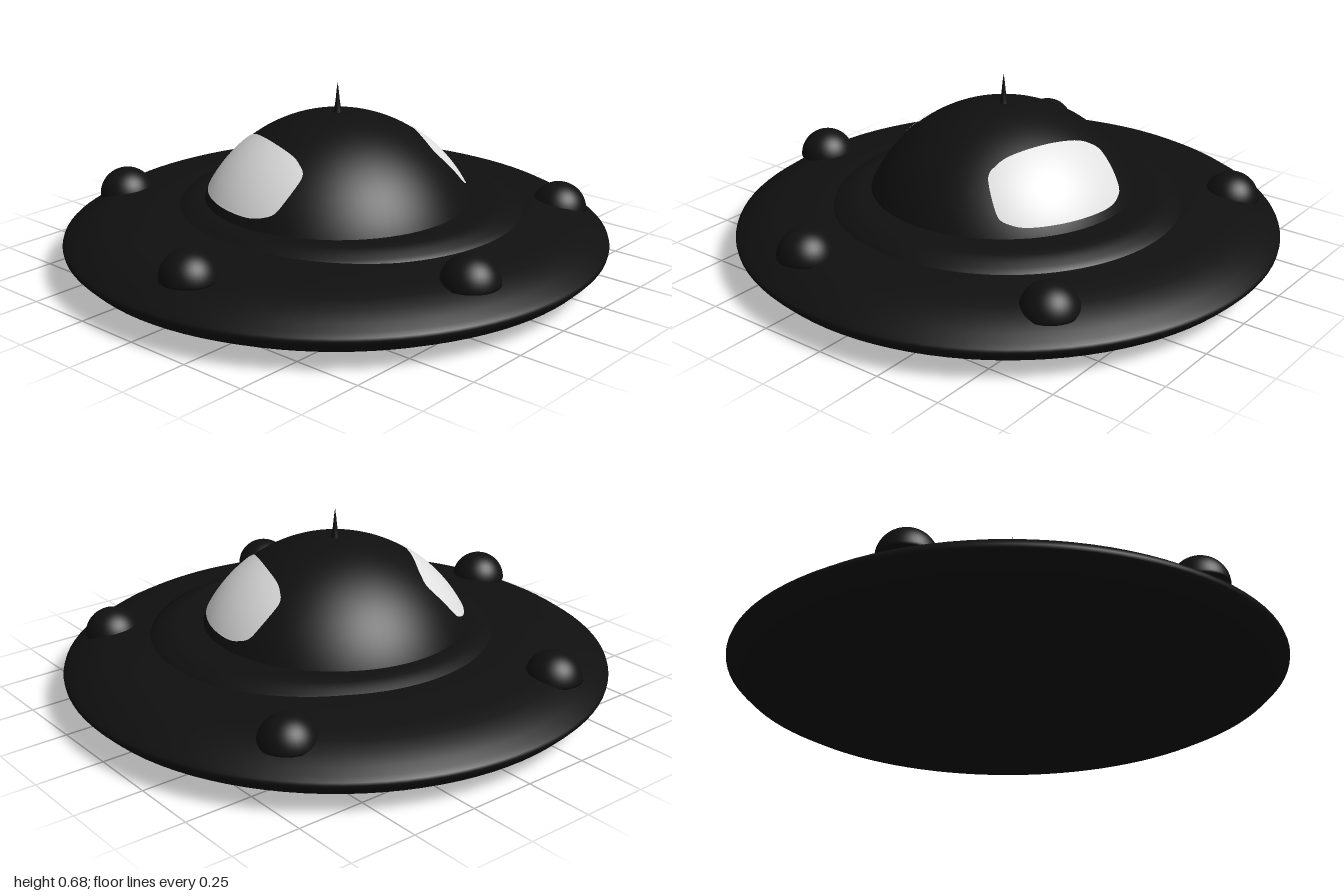
import * as THREE from 'three';

const black = new THREE.MeshStandardMaterial({ color: 0x101010 });
black.name = 'black shell';
const glass = new THREE.MeshStandardMaterial({ color: 0xe0e0e0 });
glass.name = 'pale window';

// Dome sphere: centre and radius
const DOME = { x: 0.015, y: 0.035, z: 0.008, r: 0.535 };

function add(group, name, geometry, material, x = 0, y = 0, z = 0) {
  const mesh = new THREE.Mesh(geometry, material);
  mesh.name = name;
  mesh.position.set(x, y, z);
  group.add(mesh);
  return mesh;
}

// Profile points run from the bottom axis outwards and up
function lathe(points, segments = 96) {
  return new THREE.LatheGeometry(points.map(([r, y]) => new THREE.Vector2(r, y)), segments);
}

// Rounded window patch bent over the dome; spread scales its width
function windowGeometry(spread) {
  const geo = new THREE.PlaneGeometry(2, 2, 32, 24);
  const pos = geo.attributes.position;
  const rad = THREE.MathUtils.degToRad;
  const R = DOME.r + 0.004;
  for (let i = 0; i < pos.count; i++) {
    const a = pos.getX(i), b = pos.getY(i);
    const u = a * (1 - 0.12 * b ** 8);
    const v = b * (1 - 0.14 * a ** 8);
    const t = (v + 1) / 2;
    const middle = rad(THREE.MathUtils.lerp(-22, -20.5, t));
    const half = rad(THREE.MathUtils.lerp(33.5, 45.5, t)) * spread;
    const az = middle + u * half;
    const y = THREE.MathUtils.lerp(0.255, 0.43, t) + 0.035 * t * (1 - u * u);
    const ring = Math.sqrt(R * R - y * y);
    pos.setXYZ(i, Math.sin(az) * ring, y, Math.cos(az) * ring);
  }
  geo.computeVertexNormals();
  return geo;
}

export function createModel() {
  const model = new THREE.Group();
  model.name = 'flyingSaucer';

  // Wide disc with a narrow lip at the rim
  add(model, 'hull', lathe([
    [0, 0], [0.66, 0], [0.8, 0.013], [0.9, 0.036], [0.96, 0.066], [0.985, 0.09],
    [0.998, 0.104], [1, 0.115], [0.997, 0.125], [0.98, 0.136], [0.95, 0.157],
    [0.91, 0.178], [0.86, 0.197], [0.8, 0.208], [0.72, 0.217], [0.6, 0.232], [0, 0.24],
  ]), black);

  // Raised collar around the dome
  add(model, 'collar', lathe([
    [0.65, 0.2], [0.64, 0.225], [0.615, 0.232], [0.6, 0.248], [0.565, 0.256],
    [0.54, 0.262], [0.52, 0.258], [0, 0.256],
  ]), black, 0.035, 0, -0.025);

  // Dome cap
  add(model, 'dome', new THREE.SphereGeometry(DOME.r, 80, 32, 0, Math.PI * 2, 0, 1.2),
    black, DOME.x, DOME.y, DOME.z);

  // Front and back windows
  add(model, 'frontWindow', windowGeometry(1), glass, DOME.x, DOME.y, DOME.z);
  const back = add(model, 'backWindow', windowGeometry(0.93), glass, DOME.x, DOME.y, DOME.z);
  back.rotation.y = Math.PI;

  // Antenna spike with a flared foot
  add(model, 'antenna', lathe([
    [0.018, 0.56], [0.013, 0.58], [0.008, 0.61], [0.004, 0.65], [0, 0.68],
  ], 16), black, DOME.x, 0, DOME.z);

  // Five half-ball lamps with flat undersides
  const lampProfile = [[0, 0]];
  for (let i = 0; i <= 16; i++) {
    const a = (i / 16) * Math.PI / 2;
    lampProfile.push([0.102 * Math.cos(a), 0.1 * Math.sin(a)]);
  }
  const lampGeometry = lathe(lampProfile, 40);
  [
    [0.1, 0.197, 0.83], [0.797, 0.191, 0.25], [0.577, 0.171, -0.61],
    [-0.543, 0.174, -0.635], [-0.75, 0.181, 0.365],
  ].forEach(([x, y, z], i) => add(model, `lamp${i + 1}`, lampGeometry, black, x, y, z));

  return model;
}
